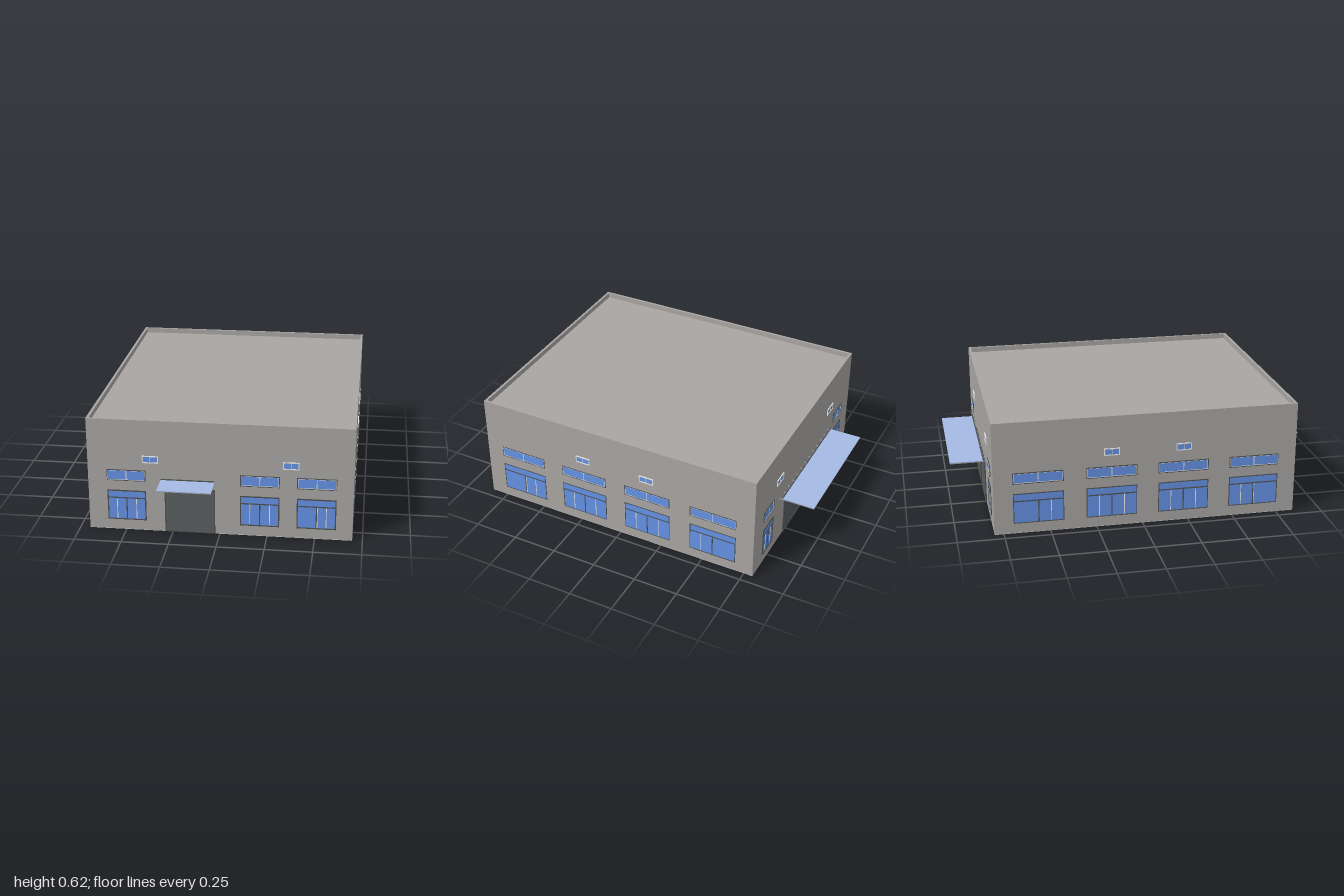
import * as THREE from 'three';

const mat = (name, color) => {
  const m = new THREE.MeshStandardMaterial({ color });
  m.name = name;
  return m;
};

export function createModel() {
  const wallMat = mat('wall grey', 0xa8a5a2);
  const floorMat = mat('floor light grey', 0xcfcfcf);
  const frameMat = mat('dark frame', 0x4e504f);
  const doorMat = mat('door grey', 0x585d5d);
  const glassMat = mat('window blue', 0x6491e4);
  const trimMat = mat('pale trim', 0xe8e7e2);
  const metalMat = mat('canopy metal', 0x9c9fa2);
  const panelMat = mat('canopy blue', 0xa4b9e4);

  const X0 = -0.697, X1 = 0.697, Z0 = -0.8, Z1 = 0.848, TOP = 0.624, ROOF = 0.595;
  const model = new THREE.Group();
  model.name = 'building';

  // Box given by its limits
  const box = (parent, name, material, x0, x1, y0, y1, z0, z1) => {
    const m = new THREE.Mesh(new THREE.BoxGeometry(x1 - x0, y1 - y0, z1 - z0), material);
    m.position.set((x0 + x1) / 2, (y0 + y1) / 2, (z0 + z1) / 2);
    m.name = name;
    parent.add(m);
  };

  // Rectangular ring standing out from a wall
  const ring = (parent, name, material, x0, x1, y0, y1, t, depth) => {
    const s = new THREE.Shape([[x0, y0], [x1, y0], [x1, y1], [x0, y1]].map(p => new THREE.Vector2(...p)));
    s.holes.push(new THREE.Path([[x0 + t, y0 + t], [x0 + t, y1 - t], [x1 - t, y1 - t], [x1 - t, y0 + t]]
      .map(p => new THREE.Vector2(...p))));
    const m = new THREE.Mesh(new THREE.ExtrudeGeometry(s, { depth, bevelEnabled: false }), material);
    m.name = name;
    parent.add(m);
    return m;
  };

  // Floor, main block and parapet
  box(model, 'floor', floorMat, X0, X1, 0, 0.002, Z0, Z1);
  box(model, 'walls', wallMat, X0, X1, 0.002, ROOF, Z0, Z1);
  const parapet = ring(model, 'parapet', wallMat, X0, X1, -Z1, -Z0, 0.014, TOP - ROOF);
  parapet.rotation.x = -Math.PI / 2;
  parapet.position.y = ROOF;

  // Wall groups: local x runs right as seen from outside, local z points out
  const side = (name, angle, x, z) => {
    const g = new THREE.Group();
    g.name = name;
    g.rotation.y = angle;
    g.position.set(x, 0, z);
    model.add(g);
    return g;
  };
  const front = side('frontWall', 0, 0, Z1);
  const back = side('backWall', Math.PI, 0, Z0);
  const right = side('leftSideWall', Math.PI / 2, X1, 0);
  const left = side('rightSideWall', -Math.PI / 2, X0, 0);

  // Upright bar inside a window
  const bar = (g, material, x, w, y0, y1, d) => box(g, 'mullion', material, x - w / 2, x + w / 2, y0, y1, 0, d);

  // Glass set inside a frame
  const pane = (g, name, x0, x1, y0, y1, t, d, frame) => {
    box(g, name + 'Glass', glassMat, x0 + t / 2, x1 - t / 2, y0 + t / 2, y1 - t / 2, 0, d * 0.5);
    ring(g, name + 'Frame', frame, x0, x1, y0, y1, t, d);
  };

  // Tall window with transom, plus the low window above it
  const windowBay = (wall, x0, x1, pale, d = 0.004, t = 0.006) => {
    const g = new THREE.Group();
    g.name = 'windowBay';
    wall.add(g);
    const w = x1 - x0, mid = (x0 + x1) / 2;
    pane(g, 'lower', x0, x1, 0.058, 0.227, t, d, frameMat);
    box(g, 'transom', frameMat, x0 + t, x1 - t, 0.181, 0.187, 0, d);
    bar(g, frameMat, mid, 0.006, 0.058 + t, 0.181, d);
    for (const f of pale) bar(g, trimMat, x0 + w * f + (f === 0.5 ? 0.005 : 0), 0.004, 0.064, 0.181, d * 0.9);
    pane(g, 'upper', x0, x1, 0.282, 0.344, 0.004, d, frameMat);
    ring(g, 'upperTrim', trimMat, x0 + 0.004, x1 - 0.004, 0.286, 0.34, 0.002, d * 0.9);
    bar(g, trimMat, mid, 0.004, 0.288, 0.338, d * 0.9);
  };

  // Small high window with pale edge
  const vent = (wall, x0, x1, y0) => {
    const g = new THREE.Group();
    g.name = 'smallWindow';
    wall.add(g);
    pane(g, 'small', x0, x1, y0, y0 + 0.04, 0.005, 0.005, trimMat);
    bar(g, trimMat, (x0 + x1) / 2, 0.003, y0 + 0.005, y0 + 0.035, 0.004);
  };

  const door = (wall, x0, x1) => {
    box(wall, 'door', doorMat, x0 + 0.002, x1 - 0.002, 0.004, 0.25, 0, 0.003);
    ring(wall, 'doorFrame', frameMat, x0, x1, 0.002, 0.252, 0.005, 0.006);
  };

  // Canopy: thin sheet on a lattice of light metal bars, held off the wall
  const canopy = (wall, x0, x1, z0, z1, y, cols, rows) => {
    const g = new THREE.Group();
    g.name = 'canopy';
    wall.add(g);
    box(g, 'sheet', panelMat, x0, x1, y, y + 0.003, z0, z1);
    box(g, 'wallRail', frameMat, x0, x1, y + 0.003, y + 0.008, z0 - 0.003, z0 + 0.002);
    for (let i = 0; i <= cols; i++) {
      const x = x0 + 0.002 + (x1 - x0 - 0.004) * i / cols;
      box(g, 'rafter', metalMat, x - 0.002, x + 0.002, y - 0.005, y, 0, z1 - 0.001);
    }
    for (let i = 0; i <= rows; i++) {
      const z = z0 + 0.002 + (z1 - z0 - 0.004) * i / rows;
      box(g, 'crossBar', metalMat, x0, x1, y - 0.004, y, z - 0.0015, z + 0.0015);
    }
  };

  // Front
  windowBay(front, -0.596, -0.39, [0.25, 0.75]);
  windowBay(front, 0.108, 0.314, [0.25, 0.75]);
  windowBay(front, 0.404, 0.61, [0.5, 0.75]);
  vent(front, -0.406, -0.321, 0.388);
  vent(front, 0.33, 0.415, 0.388);
  door(front, -0.29, -0.024);
  canopy(front, -0.307, -0.024, 0.014, 1 - Z1, 0.299, 5, 3);

  // Back
  windowBay(back, -0.577, -0.443, [0.25, 0.75]);
  windowBay(back, 0.443, 0.577, [0.25, 0.75]);
  vent(back, -0.408, -0.323, 0.404);
  vent(back, 0.33, 0.415, 0.404);
  door(back, -0.29, -0.025);
  door(back, 0.01, 0.275);
  canopy(back, -0.36, 0.365, 0.018, 1 + Z0, 0.29, 12, 4);

  // Both long sides
  const bays = [[-0.75, -0.477, [0.5, 0.75]], [-0.36, -0.085, [0.25, 0.75]],
    [0.032, 0.306, [0.25, 0.75]], [0.427, 0.697, [0.25]]];
  for (const [a, b, pale] of bays) {
    windowBay(right, a, b, pale, 0.002, 0.004);
    windowBay(left, -b, -a, pale.map(f => 1 - f), 0.005, 0.004);
  }
  for (const [a, b] of [[-0.265, -0.18], [0.125, 0.21]]) {
    vent(right, a, b, 0.405);
    vent(left, -b, -a, 0.405);
  }
  return model;
}
